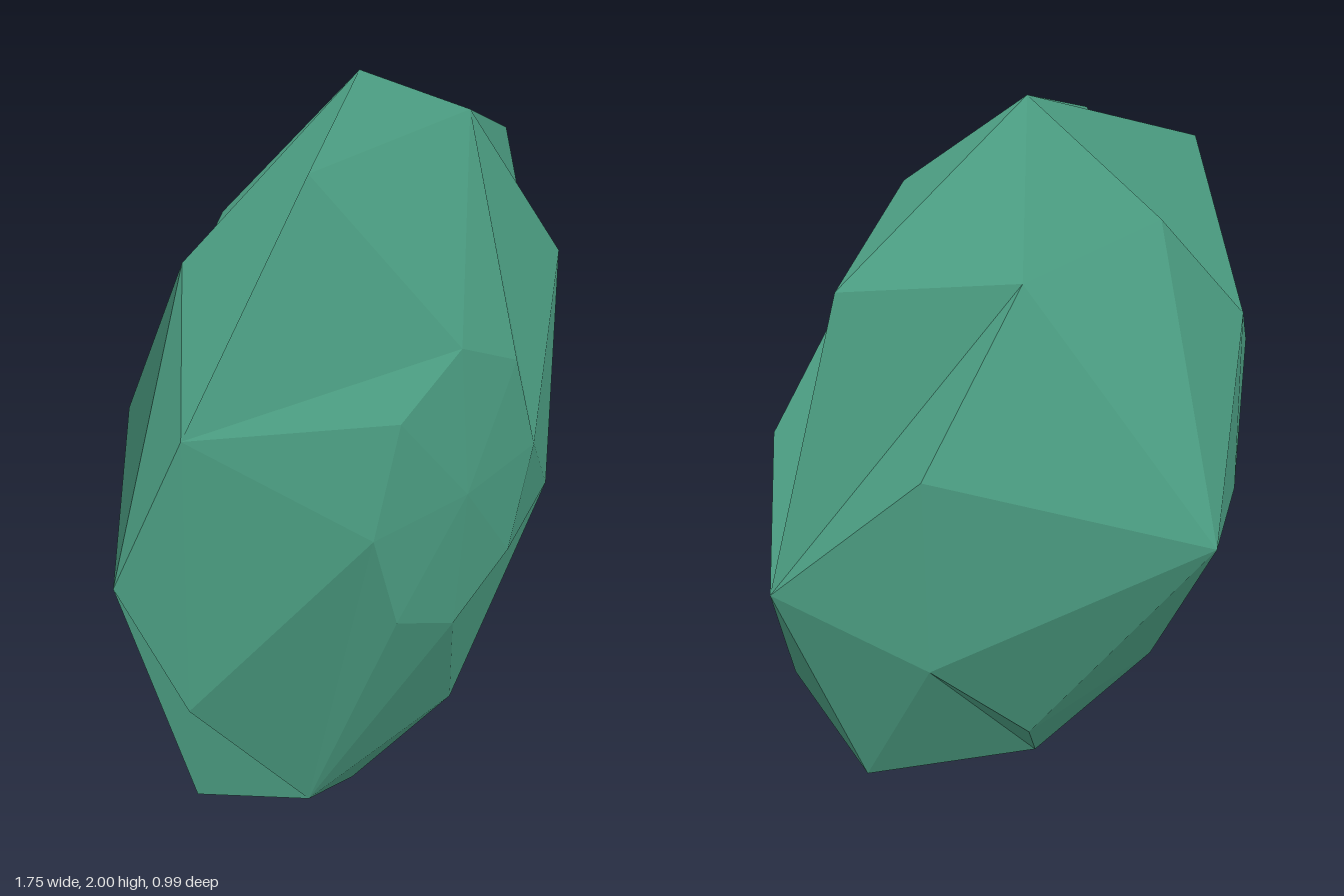
import * as THREE from 'three';

const SIDES = 8;

// Elliptical ring of eight corners; turn is a fraction of one step
function ring(rx, ry, z, turn = 0) {
  return Array.from({ length: SIDES }, (_, i) => {
    const a = ((i + turn) / SIDES) * Math.PI * 2;
    return [rx * Math.cos(a), 1 + ry * Math.sin(a), z];
  });
}

// Facets between ring a and the half-step ring b, with a twisted quarter-turn pattern
function strip(a, b, flip) {
  const tris = [];
  const at = (r, i) => r[(i + SIDES) % SIDES];
  for (let i = 0; i < SIDES; i += 2) {
    tris.push(
      [at(a, i), at(b, i - 1), at(b, i)],
      [at(a, i), at(b, i), at(b, i + 1)],
      [at(b, i + 1), at(a, i + 1), at(a, i)],
      [at(b, i + 1), at(a, i + 2), at(a, i + 1)]
    );
  }
  return flip ? tris.map(([p, q, r]) => [p, r, q]) : tris;
}

// Facets from a centre point to a ring
function fan(tip, r, flip) {
  return r.map((p, i) => {
    const q = r[(i + 1) % SIDES];
    return flip ? [tip, q, p] : [tip, p, q];
  });
}

export function createModel() {
  const group = new THREE.Group();
  group.name = 'gem';
  const green = new THREE.MeshStandardMaterial({ color: 0x4a9b80 });
  green.name = 'gemGreen';

  const table = ring(0.335, 0.38, 0.463);
  const crown = ring(0.81, 0.92, 0.245, 0.5);
  const girdle = ring(0.877, 1, 0.144);
  const pavilion = ring(0.63, 0.722, -0.076, 0.5);

  const parts = {
    table: fan([0, 1, 0.494], table, false),
    upperCrown: strip(table, crown, false),
    lowerCrown: strip(girdle, crown, true),
    upperPavilion: strip(girdle, pavilion, false),
    backPoint: fan([0, 1, -0.494], pavilion, true),
  };

  for (const [name, tris] of Object.entries(parts)) {
    const geometry = new THREE.BufferGeometry();
    geometry.setAttribute('position', new THREE.Float32BufferAttribute(tris.flat(2), 3));
    geometry.computeVertexNormals(); // unshared corners give flat facets
    const mesh = new THREE.Mesh(geometry, green);
    mesh.name = name;
    group.add(mesh);
  }
  return group;
}
